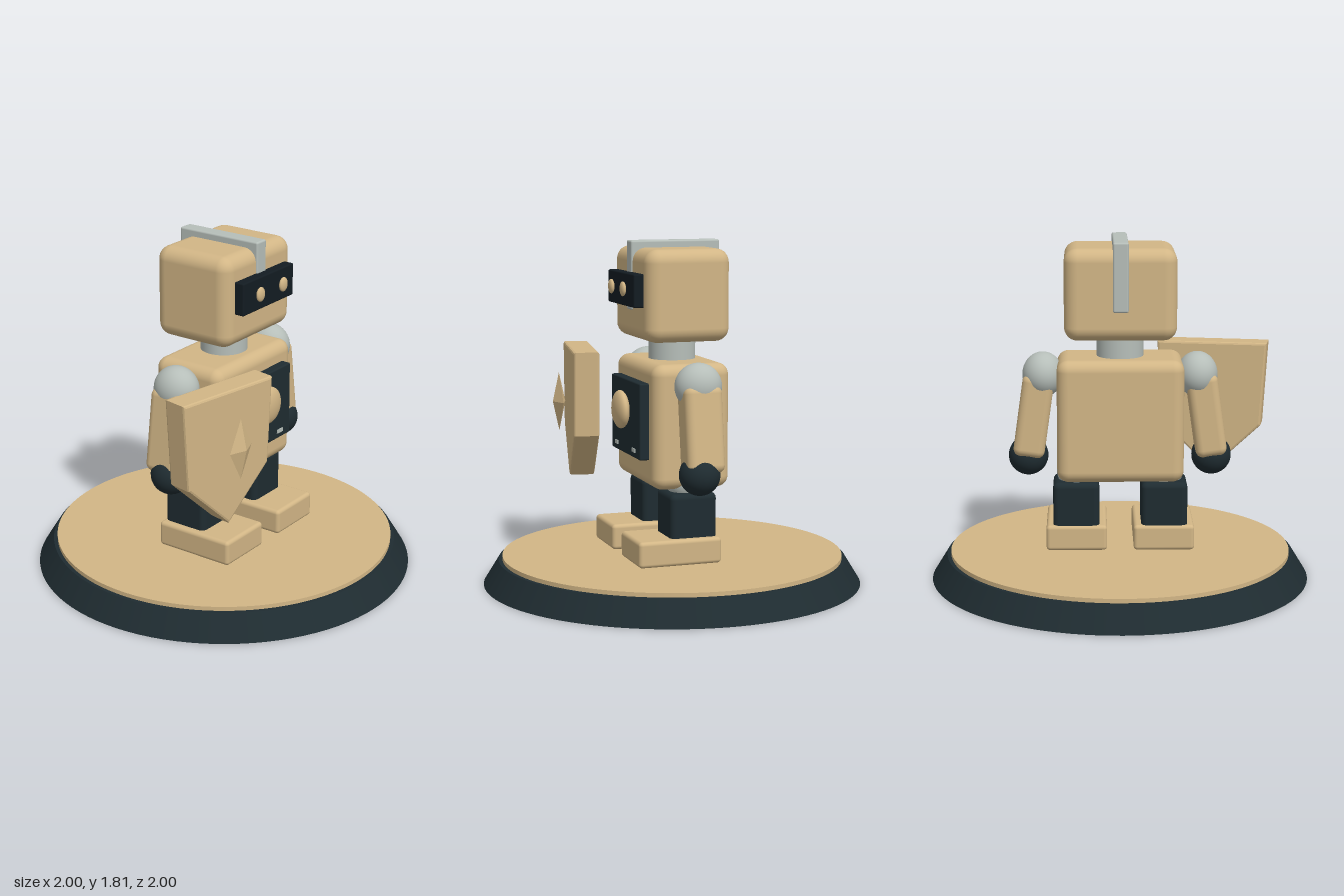
import * as THREE from 'three';
import { RoundedBoxGeometry } from 'three/addons/geometries/RoundedBoxGeometry.js';

const mat = (color, extra = {}) => new THREE.MeshStandardMaterial({ color, ...extra });

export function createModel() {
  const model = new THREE.Group();
  model.name = 'robotFigure';
  const tan = mat(0xd2b686), dark = mat(0x1f2c31), black = mat(0x131c22), grey = mat(0xb6beb9);

  const add = (name, geometry, material, x, y, z, parent = model) => {
    const mesh = new THREE.Mesh(geometry, material);
    mesh.name = name;
    mesh.position.set(x, y, z);
    parent.add(mesh);
    return mesh;
  };
  const box = (w, h, d, r) => new RoundedBoxGeometry(w, h, d, 4, r);
  const ball = (rx, ry = rx, rz = rx) => new THREE.SphereGeometry(1, 40, 24).scale(rx, ry, rz);

  // Round display base
  add('baseRim', new THREE.CylinderGeometry(0.92, 1, 0.13, 96), dark, 0, 0.065, 0);
  add('baseTop', new THREE.CylinderGeometry(0.9, 0.9, 0.03, 96), tan, 0, 0.137, 0);

  // Head with visor, eyes and crest
  add('head', box(0.58, 0.475, 0.455, 0.07), tan, 0, 1.532, 0);
  add('crest', box(0.08, 0.357, 0.485, 0.01), grey, 0, 1.628, -0.007);
  add('visor', box(0.44, 0.17, 0.08, 0.008), black, 0, 1.56, 0.24);
  add('neck', new THREE.CylinderGeometry(0.122, 0.122, 0.18, 48), grey, 0, 1.24, 0);

  // Torso with chest panel and dome
  add('torso', box(0.66, 0.645, 0.415, 0.06), tan, 0, 0.867, 0);
  add('chestPanel', box(0.48, 0.395, 0.07, 0.008), dark, 0, 0.892, 0.222);
  add('chestDome', ball(0.1, 0.1, 0.04), tan, 0, 0.93, 0.284);

  // Paired parts, mirrored left and right
  for (const [side, label] of [[1, 'left'], [-1, 'right']]) {
    add(label + 'Eye', ball(0.032, 0.038, 0.015), tan, side * 0.1, 1.565, 0.3);
    add(label + 'PanelLight', new THREE.BoxGeometry(0.05, 0.02, 0.015), grey, side * 0.145, 0.735, 0.255);

    const arm = new THREE.Group();
    arm.name = label + 'Arm';
    model.add(arm);
    add('shoulder', ball(0.107, 0.12, 0.122), grey, side * 0.405, 1.088, 0, arm);
    add('armSegment', box(0.165, 0.44, 0.2, 0.04), tan, side * 0.453, 0.875, 0, arm).rotation.z = side * 0.14;
    add('hand', ball(0.105), dark, side * 0.484, 0.65, 0.02, arm);

    const leg = new THREE.Group();
    leg.name = label + 'Leg';
    model.add(leg);
    add('hip', ball(0.105), grey, side * 0.23, 0.57, 0, leg);
    add('legSegment', box(0.243, 0.27, 0.25, 0.03), dark, side * 0.232, 0.392, 0, leg);
    add('foot', box(0.32, 0.135, 0.445, 0.02), tan, side * 0.23, 0.232, 0.085, leg);
  }

  // Shield turned slightly outward, with a diamond floating before it
  const outline = new THREE.Shape([
    [-0.285, 0.345], [0.285, 0.345], [0.258, -0.09], [0, -0.335], [-0.258, -0.09],
  ].reverse().map(([x, y]) => new THREE.Vector2(x, y)));
  const shieldGeometry = new THREE.ExtrudeGeometry(outline, {
    depth: 0.114, bevelEnabled: true, bevelSize: 0.012, bevelThickness: 0.012, bevelSegments: 2,
  }).translate(0, 0, -0.057);
  add('shield', shieldGeometry, tan, -0.512, 0.85, 0.348).rotation.y = -0.18;

  const gem = new THREE.OctahedronGeometry(1).scale(0.09, 0.16, 0.035);
  add('shieldDiamond', gem, mat(0xd2b686, { flatShading: true }), -0.51, 0.913, 0.475);

  return model;
}
